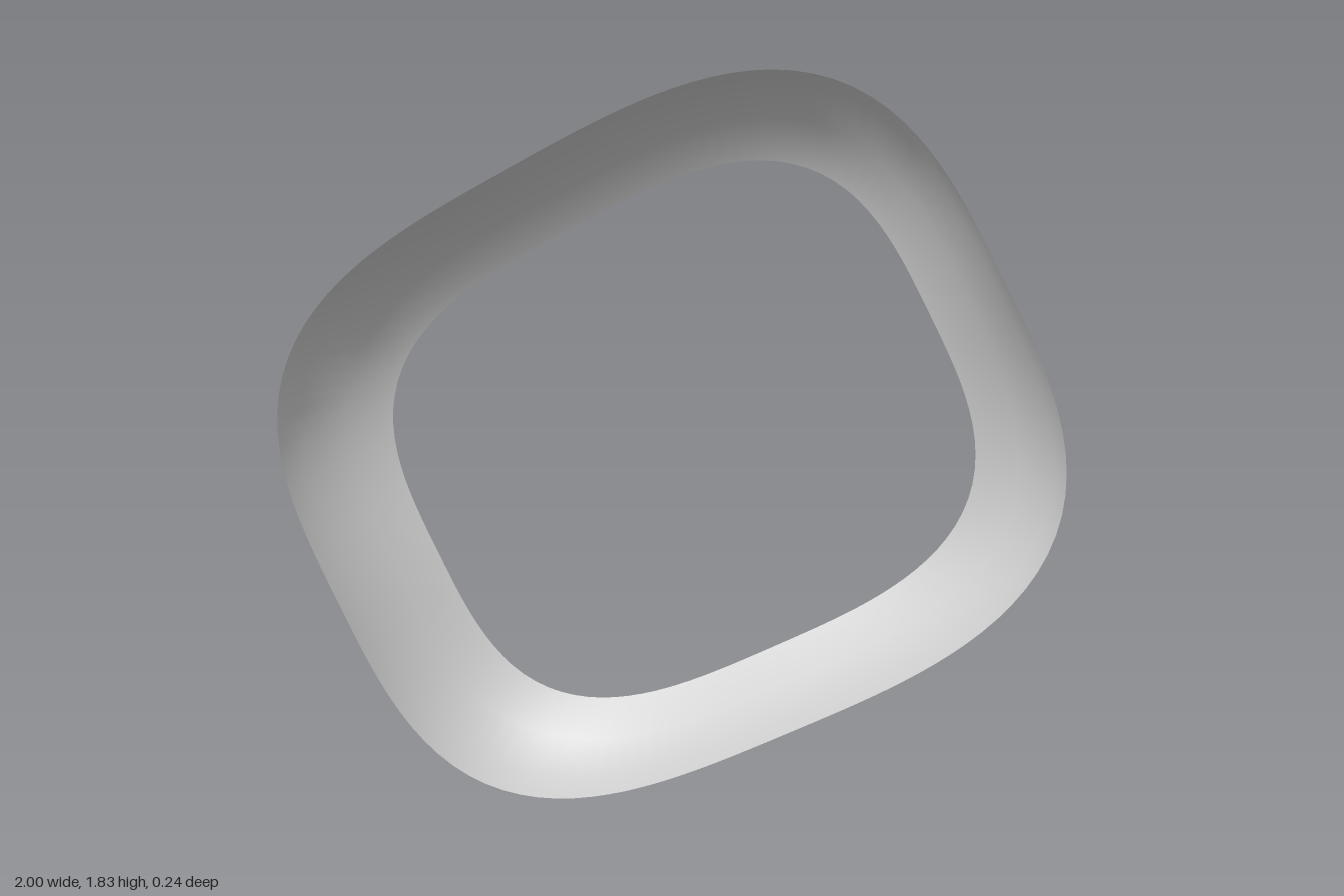
import * as THREE from 'three';

// Rounded-rectangle outline (superellipse), tilted in the xy plane
const HALF_W = 0.945, HALF_H = 0.777, POWER = 3.2;
const TILT = THREE.MathUtils.degToRad(27);
const CENTRE_Y = 0.915;
const SEGMENTS = 128;

// Band cross-section from the wide front rim to the narrow back rim: [scale, z]
const PROFILE = [[1, 0.122], [0.973, 0.042], [0.89, -0.073], [0.78, -0.122]];

function outlinePoint(angle) {
  const c = Math.cos(angle), s = Math.sin(angle);
  const r = (Math.abs(c / HALF_W) ** POWER + Math.abs(s / HALF_H) ** POWER) ** (-1 / POWER);
  return new THREE.Vector2(r * c, r * s).rotateAround(new THREE.Vector2(), TILT);
}

// Closed loops of the outline, scaled along the profile and joined by quads
function bandGeometry() {
  const positions = [], indices = [];
  PROFILE.forEach(([scale, z], row) => {
    for (let i = 0; i < SEGMENTS; i++) {
      const p = outlinePoint((i / SEGMENTS) * Math.PI * 2);
      positions.push(p.x * scale, CENTRE_Y + p.y * scale, z);
      if (row === PROFILE.length - 1) continue;
      const a = row * SEGMENTS + i;
      const b = row * SEGMENTS + ((i + 1) % SEGMENTS);
      const c = b + SEGMENTS, d = a + SEGMENTS;
      indices.push(a, d, b, b, d, c);
    }
  });
  const geometry = new THREE.BufferGeometry();
  geometry.setAttribute('position', new THREE.Float32BufferAttribute(positions, 3));
  geometry.setIndex(indices);
  geometry.computeVertexNormals();
  return geometry;
}

export function createModel() {
  const group = new THREE.Group();
  group.name = 'bezel';

  // Thin open band, visible from inside and outside
  const material = new THREE.MeshStandardMaterial({ color: 0xcccccc, side: THREE.DoubleSide });
  const band = new THREE.Mesh(bandGeometry(), material);
  band.name = 'bezelBand';
  group.add(band);
  return group;
}
